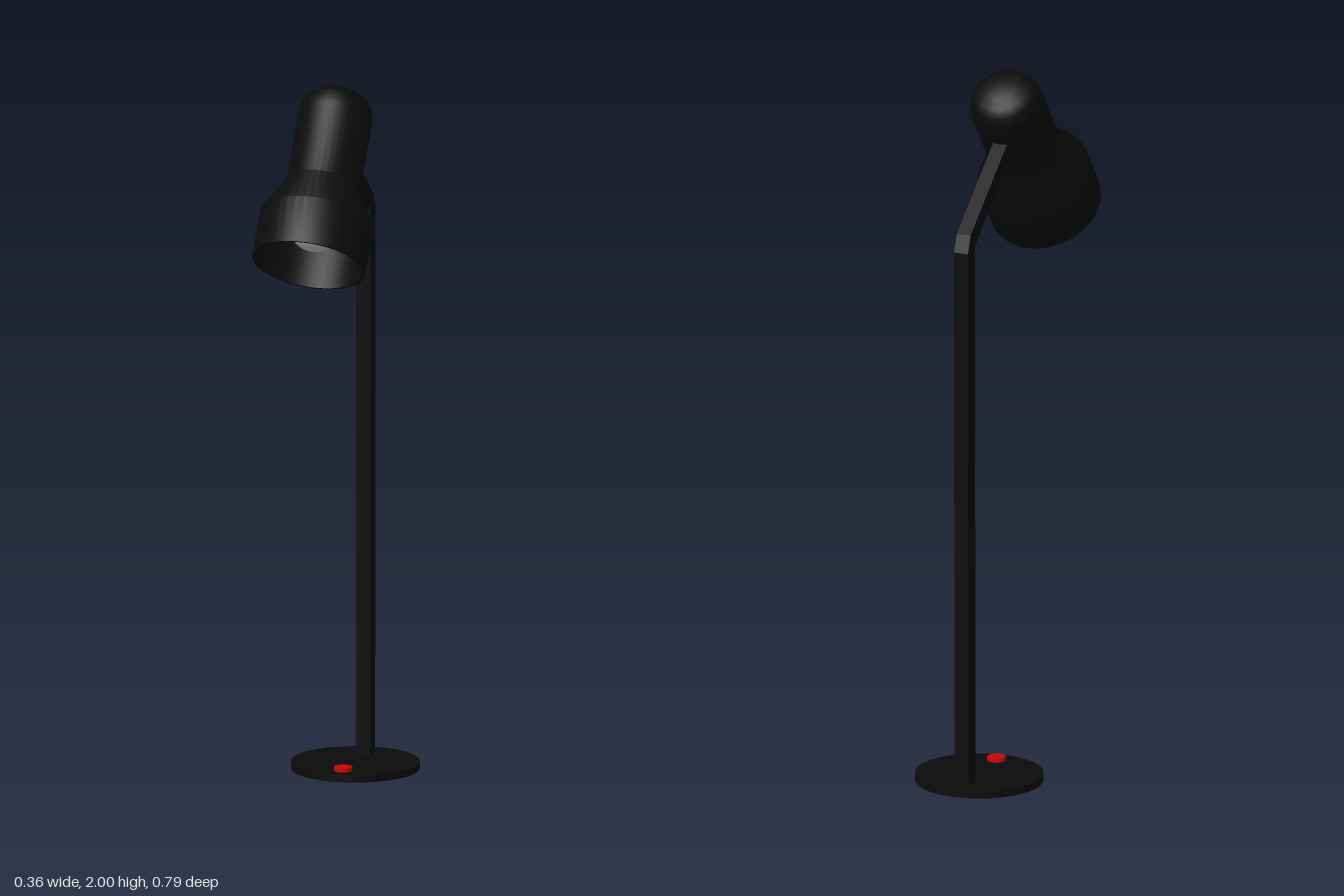
import * as THREE from 'three';
import { toCreasedNormals } from 'three/addons/utils/BufferGeometryUtils.js';

const material = (color, side = THREE.FrontSide) => new THREE.MeshStandardMaterial({ color, side });

export function createModel() {
  const lamp = new THREE.Group();
  lamp.name = 'deskLamp';
  const black = material(0x0b0b0b);
  const blackShell = material(0x0b0b0b, THREE.DoubleSide);

  const add = (parent, name, geometry, mat, x = 0, y = 0, z = 0) => {
    const mesh = new THREE.Mesh(geometry, mat);
    mesh.name = name;
    mesh.position.set(x, y, z);
    parent.add(mesh);
    return mesh;
  };

  // Round foot with a red switch
  add(lamp, 'base', new THREE.CylinderGeometry(0.18, 0.18, 0.021, 40), black, 0, 0.0105, -0.2135);
  add(lamp, 'switchButton', new THREE.CylinderGeometry(0.026, 0.026, 0.012, 24), material(0xcc0505), 0, 0.026, -0.088);

  // Flat bar bent at the elbow: side outline in (z, y), extruded across x
  const outline = new THREE.Shape([
    [-0.343, 0.012], [-0.348, 1.575], [-0.327, 1.624], [-0.04, 1.83],
    [-0.012, 1.792], [-0.296, 1.583], [-0.292, 0.012],
  ].map(([z, y]) => new THREE.Vector2(z, y)));
  const width = 0.042;
  const bar = new THREE.ExtrudeGeometry(outline, { depth: width, bevelEnabled: false });
  bar.translate(0, 0, -width / 2).rotateY(-Math.PI / 2);
  add(lamp, 'standAndArm', bar, black);

  // Tilted head: local y runs from the open mouth to the domed cap
  const head = new THREE.Group();
  head.name = 'head';
  head.position.set(0, 1.548, 0.268);
  head.rotation.x = -0.652;
  lamp.add(head);

  // Shade: inner wall first, round the rim, then the outer wall up to the cap
  const wall = 0.006;
  const outer = [
    [0.16, 0], [0.16, 0.139], [0.104, 0.246], [0.104, 0.455], [0.1, 0.483],
    [0.087, 0.507], [0.067, 0.522], [0.036, 0.531], [0, 0.534],
  ];
  const inner = [[0, 0.44], [0.104 - wall, 0.44], [0.104 - wall, 0.246], [0.16 - wall, 0.137], [0.16 - wall, 0]];
  const profile = [...inner, ...outer].map(([r, y]) => new THREE.Vector2(r, y));
  const shade = toCreasedNormals(new THREE.LatheGeometry(profile, 40), 0.5);
  add(head, 'shade', shade, blackShell);

  // Bulb and its holder
  add(head, 'bulb', new THREE.SphereGeometry(0.08, 28, 18), material(0xcccccc), 0, 0.128, 0);
  add(head, 'bulbHolder', new THREE.CylinderGeometry(0.045, 0.045, 0.25, 24), black, 0, 0.315, 0);

  return lamp;
}
